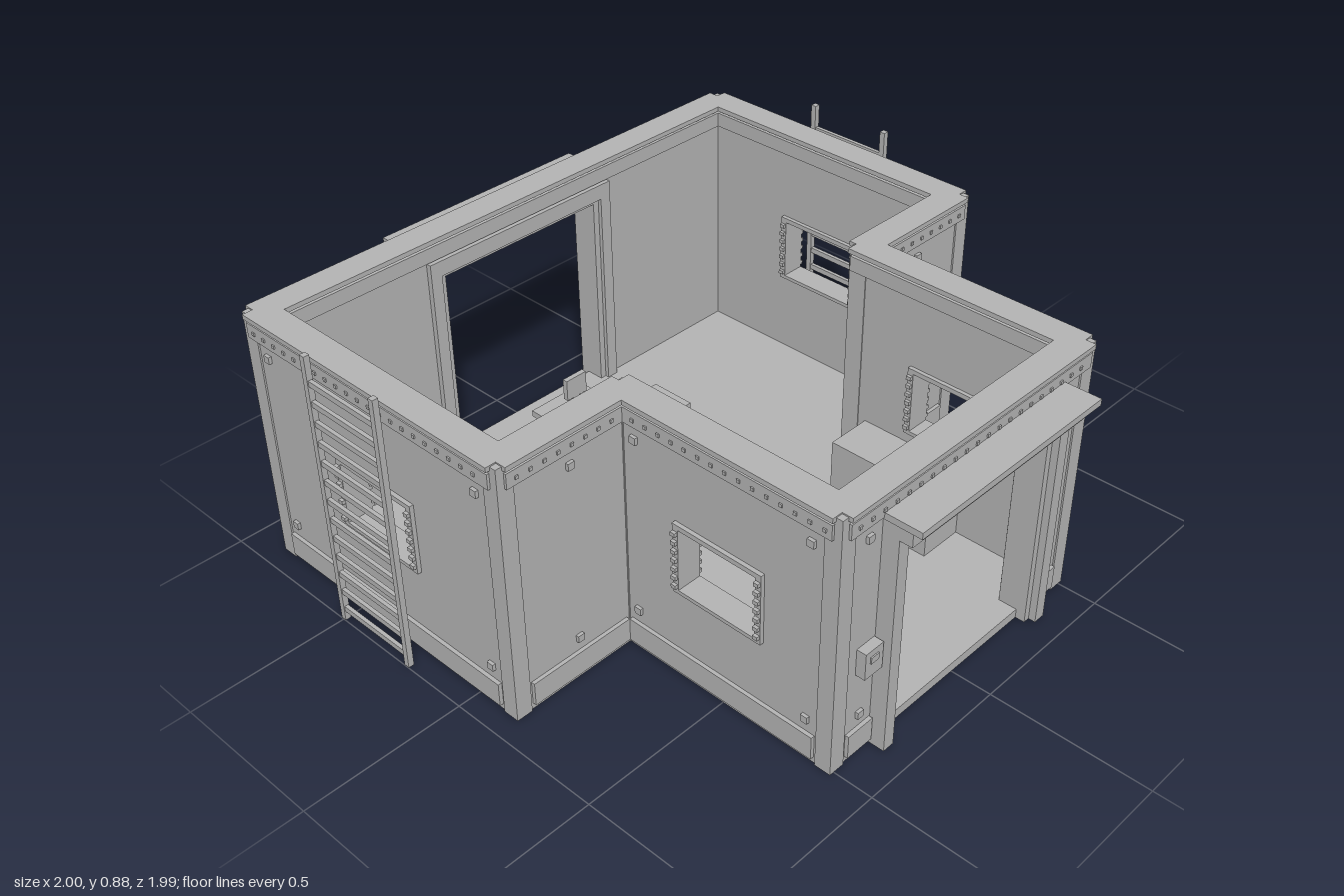
import * as THREE from 'three';

const grey = new THREE.MeshStandardMaterial({ color: 0xb4b4b4 });
grey.name = 'grey';

// box from min/max extents
function box(parent, name, x0, x1, y0, y1, z0, z1) {
  const m = new THREE.Mesh(new THREE.BoxGeometry(x1 - x0, y1 - y0, z1 - z0), grey);
  m.position.set((x0 + x1) / 2, (y0 + y1) / 2, (z0 + z1) / 2);
  m.name = name;
  parent.add(m);
  return m;
}

function rect(path, x0, x1, y0, y1) {
  path.moveTo(x0, y0);
  path.lineTo(x1, y0);
  path.lineTo(x1, y1);
  path.lineTo(x0, y1);
  path.closePath();
  return path;
}

// upright plate with one optional rectangular opening
function plate(parent, name, outer, hole, z0, z1) {
  const shape = rect(new THREE.Shape(), ...outer);
  if (hole) shape.holes.push(rect(new THREE.Path(), ...hole));
  const g = new THREE.ExtrudeGeometry(shape, { depth: z1 - z0, bevelEnabled: false });
  const m = new THREE.Mesh(g, grey);
  m.position.z = z0;
  m.name = name;
  parent.add(m);
}

function addDoor(wall) {
  for (const s of [-1, 1]) {
    const span = (a, b) => (s > 0 ? [a, b] : [-b, -a]);
    box(wall, 'doorPillar', ...span(0.318, 0.357), 0, 0.7, -0.073, 0.052);
    box(wall, 'doorJamb', ...span(0.297, 0.318), 0, 0.7, -0.06, 0.03);
  }
  box(wall, 'doorHead', -0.32, 0.32, 0.685, 0.7, -0.06, 0.03);
  box(wall, 'doorLintel', -0.357, 0.357, 0.7, 0.75, -0.073, 0.09);
  box(wall, 'doorCanopy', -0.37, 0.37, 0.752, 0.772, 0, 0.125);
  box(wall, 'doorControlBox', -0.428, -0.36, 0.285, 0.37, -0.01, 0.03);
  box(wall, 'doorControlButton', -0.41, -0.38, 0.33, 0.35, 0.025, 0.034);
}

function addWindow(wall, cx, w) {
  const x0 = cx - w / 2, x1 = cx + w / 2;
  plate(wall, 'windowFrame', [x0 - 0.02, x1 + 0.02, 0.3, 0.527],
    [x0, x1, 0.312, 0.512], -0.068, 0.013);
  // ridges down both jambs
  for (let i = 0; i < 7; i++) {
    const y = 0.325 + i * 0.029;
    for (const x of [x0 - 0.01, x1 + 0.01]) {
      box(wall, 'windowRidge', x - 0.008, x + 0.008, y - 0.006, y + 0.006, -0.078, 0.023);
    }
  }
}

// wall in its own frame: x along, outer face at z = 0
function addWall(model, name, o) {
  const wall = new THREE.Group();
  const h = o.len / 2;
  const win = o.window;
  let hole = null;
  if (o.door) hole = [-0.3, 0.3, 0.03, 0.69];
  if (win) hole = [win.x - win.w / 2, win.x + win.w / 2, 0.312, 0.512];
  plate(wall, name + 'Panel', [-h, h, 0, 0.82], hole, -0.055, 0);

  // trim: short of outer corners, running on into inner corners
  const l = -h - (o.l ?? -0.015), r = h + (o.r ?? -0.015);
  box(wall, 'wallCap', l, r, 0.815, 0.83, -0.075, 0.018);
  box(wall, 'wallCornice', l + 0.004, r - 0.004, 0.758, 0.805, -0.07, 0.013);
  for (let x = -h + 0.05; x < h - 0.04; x += 0.045) {
    box(wall, 'corniceRivet', x - 0.005, x + 0.005, 0.776, 0.786, 0.01, 0.017);
  }

  // skirting and wall clips, in two runs beside a door
  const a = -h + (o.l ? 0.012 : 0.055), b = h - (o.r ? 0.012 : 0.055);
  const runs = o.door ? [[a, -0.36], [0.36, b]] : [[a, b]];
  for (const [x0, x1] of runs) {
    box(wall, 'skirting', x0, x1, 0.02, 0.095, -0.01, 0.012);
    const clips = x1 - x0 > 0.6 ? [x0 + 0.03, x1 - 0.03] : [(x0 + x1) / 2];
    for (const x of clips) {
      for (const y of [0.14, 0.712]) {
        box(wall, 'wallClip', x - 0.011, x + 0.011, y - 0.011, y + 0.011, -0.01, 0.01);
      }
    }
  }
  if (o.door) addDoor(wall);
  if (win) addWindow(wall, win.x, win.w);
  wall.name = name;
  wall.position.set(o.x, 0, o.z);
  wall.rotation.y = o.turn ?? 0;
  model.add(wall);
}

function addLadder(model, s) {
  const ladder = new THREE.Group();
  ladder.name = 'ladder';
  const x0 = s > 0 ? 0.981 : -0.999, x1 = x0 + 0.018;
  box(ladder, 'ladderRail', x0, x1, 0, 0.885, -0.23, -0.212);
  box(ladder, 'ladderRail', x0, x1, 0, 0.885, -0.51, -0.492);
  for (let i = 0; i < 13; i++) {
    const y = 0.04 + i * 0.0635;
    box(ladder, 'ladderRung', x0 + 0.003, x1 - 0.003, y - 0.009, y + 0.009, -0.495, -0.227);
  }
  model.add(ladder);
}

export function createModel() {
  const model = new THREE.Group();
  model.name = 'tShapedOutpost';

  // floor slab following the T plan
  const plan = [[-0.92, 0.865], [0.92, 0.865], [0.92, -0.145], [0.505, -0.145],
    [0.505, -0.865], [-0.505, -0.865], [-0.505, -0.145], [-0.92, -0.145]];
  const shape = new THREE.Shape(plan.map(([x, y]) => new THREE.Vector2(x, y)));
  const floor = new THREE.Mesh(
    new THREE.ExtrudeGeometry(shape, { depth: 0.03, bevelEnabled: false }), grey);
  floor.rotation.x = -Math.PI / 2;
  floor.name = 'floor';
  model.add(floor);

  // walls
  addWall(model, 'frontWall', { x: 0, z: 0.87, len: 1.02, door: true });
  addWall(model, 'backWall', { x: 0, z: -0.87, len: 1.85, turn: Math.PI, door: true });
  for (const s of [1, -1]) {
    const turn = s * Math.PI / 2;
    addWall(model, 'hallSideWall', { x: s * 0.51, z: 0.51, len: 0.72, turn,
      window: { x: s * 0.025, w: 0.265 }, [s > 0 ? 'r' : 'l']: 0.05 });
    addWall(model, 'wingSideWall', { x: s * 0.925, z: -0.36, len: 1.02, turn,
      window: { x: 0, w: 0.275 } });
    addWall(model, 'wingFrontWall', { x: s * 0.7175, z: 0.15, len: 0.415,
      [s > 0 ? 'l' : 'r']: 0.04 });
    addLadder(model, s);

    // corner posts
    for (const [x, z, dz] of [[0.925, -0.87, -1], [0.925, 0.15, 1], [0.51, 0.87, 1]]) {
      const cx = s * (x - 0.021), cz = z - dz * 0.021;
      box(model, 'cornerPost', cx - 0.026, cx + 0.026, 0, 0.826, cz - 0.026, cz + 0.026);
    }
    const ix = s * 0.4825;
    box(model, 'innerCornerPost', ix - 0.03, ix + 0.03, 0, 0.826, 0.093, 0.153);
  }

  // counter, side table with screen and keys
  const desk = new THREE.Group();
  desk.name = 'desk';
  box(desk, 'counter', -0.195, 0.188, 0.03, 0.235, -0.44, -0.29);
  box(desk, 'tableTop', -0.195, 0.01, 0.24, 0.26, -0.585, -0.44);
  box(desk, 'tableLeg', -0.185, -0.165, 0.03, 0.24, -0.575, -0.44);
  box(desk, 'screenFoot', -0.085, -0.037, 0.26, 0.266, -0.55, -0.52);
  box(desk, 'screenStem', -0.067, -0.055, 0.264, 0.28, -0.541, -0.531);
  box(desk, 'screen', -0.1, -0.022, 0.275, 0.345, -0.545, -0.528);
  box(desk, 'keyboard', -0.1, -0.022, 0.26, 0.268, -0.512, -0.478);
  model.add(desk);

  // storage bench along the hall wall
  box(model, 'bench', 0.303, 0.456, 0.03, 0.26, 0.18, 0.54);
  return model;
}
